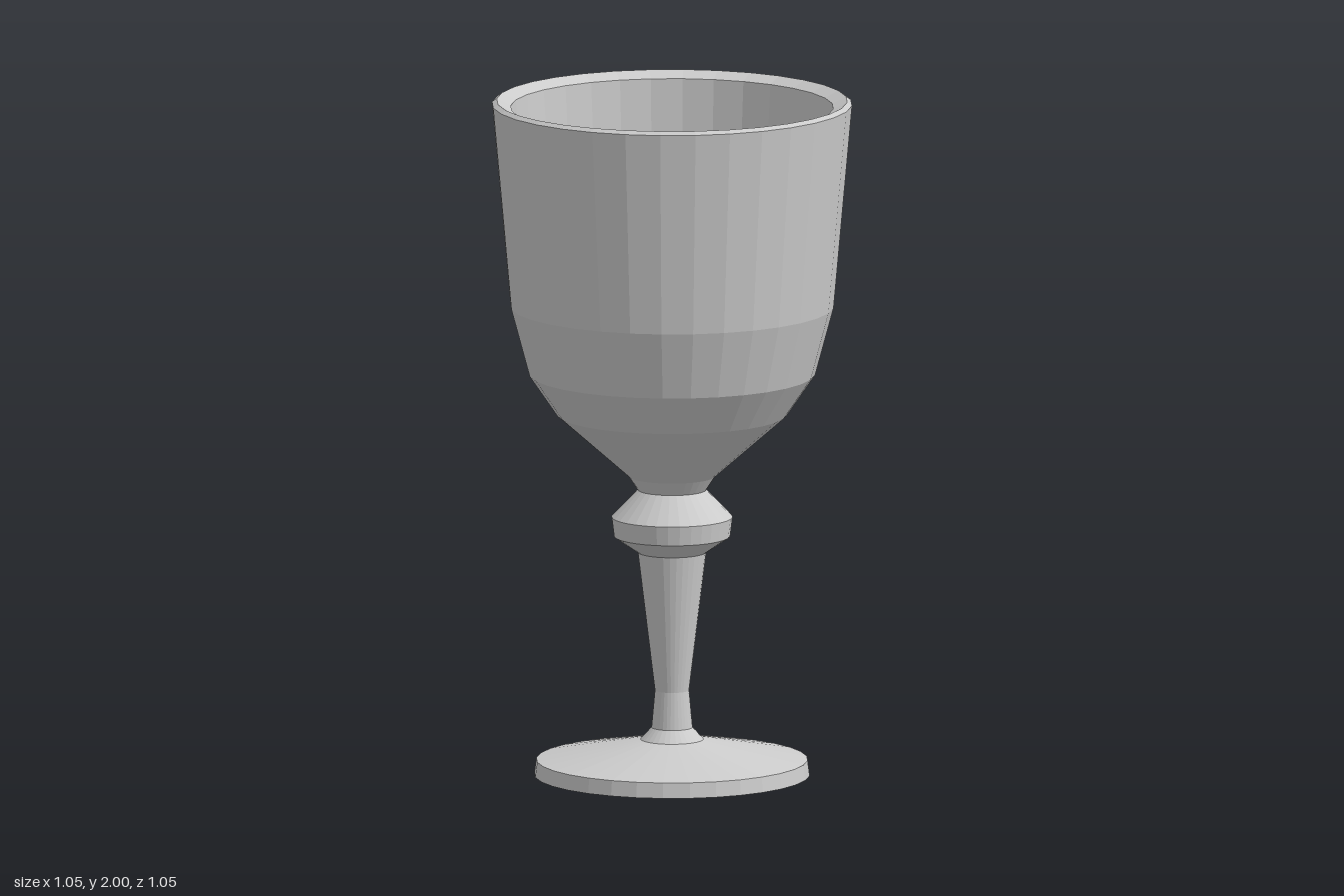
import * as THREE from 'three';

const SEGMENTS = 32;

export function createModel() {
  const group = new THREE.Group();
  group.name = 'goblet';
  const material = new THREE.MeshStandardMaterial({ color: 0xcccccc, flatShading: true });

  // Turned part: profile of [radius, height], running up the outside
  const turned = (name, profile) => {
    const points = profile.map(([r, y]) => new THREE.Vector2(r, y));
    const mesh = new THREE.Mesh(new THREE.LatheGeometry(points, SEGMENTS), material);
    mesh.name = name;
    group.add(mesh);
  };

  // Foot: flat underside, thin rim, shallow cone top and small collar
  turned('foot', [
    [0.008, 0.005], [0.22, 0.003], [0.403, 0], [0.397, 0.045], [0.092, 0.105], [0.06, 0.14],
  ]);

  // Stem: narrow waist, widening towards the knop
  turned('stem', [[0.06, 0.14], [0.05, 0.25], [0.1, 0.66]]);

  // Knop: faceted ring between stem and bowl
  turned('knop', [[0.1, 0.66], [0.17, 0.708], [0.177, 0.765], [0.1, 0.845]]);

  // Bowl: outside wall, bevelled lip, then down the inside to the floor
  turned('bowl', [
    [0.1, 0.845], [0.126, 0.885], [0.337, 1.07], [0.419, 1.19], [0.473, 1.39],
    [0.527, 1.99], [0.513, 2],
    [0.472, 1.98], [0.43, 1.4], [0.367, 1.2], [0.238, 1.07], [0.01, 1.04],
  ]);

  return group;
}
